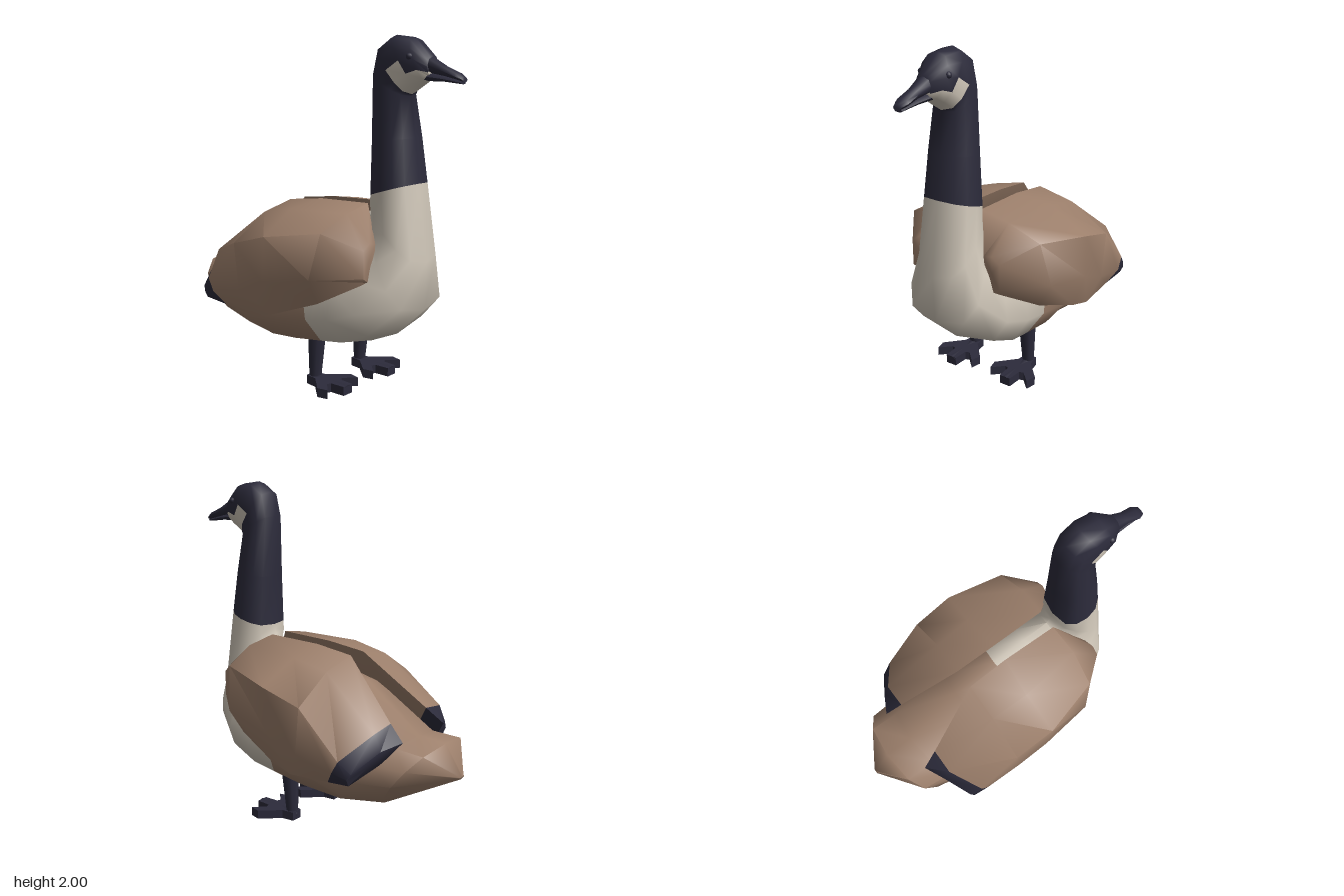
import * as THREE from 'three';
import { toCreasedNormals } from 'three/addons/utils/BufferGeometryUtils.js';

const mat = (name, color) => {
  const m = new THREE.MeshStandardMaterial({ color });
  m.name = name;
  return m;
};

// Skin over closed rings of [x, y, z]; pick(band, side) gives the material index
function loft(rings, pick = () => 0, crease = 1.1) {
  const n = rings[0].length, last = rings.length - 1;
  const centre = r => [0, 1, 2].map(k => r.reduce((s, p) => s + p[k], 0) / n);
  const pos = [...rings.flat(), centre(rings[0]), centre(rings[last])].flat();
  const c0 = rings.length * n, faces = [[], [], []];
  for (let j = 0; j < n; j++) {
    const k = (j + 1) % n;
    for (let i = 0; i < last; i++) {
      const a = i * n + j, b = i * n + k;
      faces[pick(i, j)].push(a, b, b + n, a, b + n, a + n);
    }
    faces[pick(0, j)].push(c0, k, j);
    faces[pick(last - 1, j)].push(c0 + 1, last * n + j, last * n + k);
  }
  const g = new THREE.BufferGeometry();
  g.setAttribute('position', new THREE.Float32BufferAttribute(pos, 3));
  g.setIndex(faces.flat());
  let start = 0;
  faces.forEach((f, m) => {
    if (f.length) g.addGroup(start, f.length, m);
    start += f.length;
  });
  return toCreasedNormals(g, crease);
}

// Ring spanning a lower point (zb, yb) and an upper point (zt, yt), half-width w;
// k widens the lower half, a smaller p makes the ring boxier
function ring([zb, yb, zt, yt, w, k = 0, p = 0.85], n = 12) {
  return Array.from({ length: n }, (_, j) => {
    const a = (j / n) * Math.PI * 2, c = Math.cos(a), s = Math.sin(a), t = (1 - c) / 2;
    const x = Math.sign(s) * Math.pow(Math.abs(s), p) * w * (1 + k * c);
    return [Math.abs(s) < 1e-6 ? 0 : x, yb + (yt - yb) * t, zb + (zt - zb) * t];
  });
}

export function createModel() {
  const goose = new THREE.Group();
  goose.name = 'goose';
  const brown = mat('brownFeathers', 0x9c7f6b);
  const cream = mat('creamFeathers', 0xcfc6b8);
  const dark = mat('darkFeathers', 0x2c2b3b);
  const palette = [brown, cream, dark];
  const add = (name, geometry, material, parent = goose) => {
    const m = new THREE.Mesh(geometry, material);
    m.name = name;
    parent.add(m);
    return m;
  };

  // Tail, body, neck and head in one skin
  const spine = [
    [-0.93, 0.46, -0.94, 0.48, 0.02],
    [-0.53, 0.25, -0.83, 0.64, 0.305, -0.1, 0.75],
    [-0.23, 0.20, -0.66, 0.65, 0.345, 0, 0.85],
    [0.0, 0.225, -0.30, 0.91, 0.33, 0.3, 0.75],
    [0.21, 0.255, -0.02, 0.99, 0.31, 0.45, 0.75],
    [0.36, 0.28, 0.2, 1.02, 0.30, 0.53, 0.75],
    [0.54, 0.36, 0.37, 1.04, 0.275, 0.62, 0.75],
    [0.72, 0.53, 0.39, 1.08, 0.215, 0.43, 0.72],
    [0.73, 0.80, 0.40, 1.11, 0.17, 0.05, 0.62],
    [0.67, 1.22, 0.405, 1.14, 0.158, 0, 0.6],
    [0.64, 1.46, 0.40, 1.44, 0.137, 0, 0.65],
    [0.605, 1.68, 0.39, 1.80, 0.112, 0, 0.7],
    [0.615, 1.69, 0.42, 1.94, 0.107, 0, 0.7],
    [0.68, 1.73, 0.51, 2.0, 0.102, 0, 0.65],
    [0.72, 1.76, 0.63, 1.985, 0.09, 0, 0.7],
    [0.745, 1.775, 0.745, 1.89, 0.05],
  ];
  const bodyColour = (band, side) => {
    if (band < 4) return 0;
    if (band < 9) return 1;
    const fromChin = Math.min(side, 11 - side);
    const patch = { 12: 3, 13: 2, 14: 2 }[band] || 0;
    return fromChin < patch ? 1 : 2;
  };
  add('bodyNeckAndHead', loft(spine.map(r => ring(r)), bodyColour), palette);

  // Beak halves
  add('upperBeak', loft([
    [0.71, 1.80, 0.70, 1.91, 0.055],
    [0.82, 1.785, 0.82, 1.84, 0.038],
    [0.90, 1.765, 0.90, 1.805, 0.042],
    [0.94, 1.755, 0.935, 1.782, 0.025],
  ].map(r => ring(r, 8))), dark);
  add('lowerBeak', loft([
    [0.70, 1.76, 0.70, 1.81, 0.045],
    [0.82, 1.757, 0.82, 1.786, 0.033],
    [0.93, 1.745, 0.93, 1.76, 0.024],
  ].map(r => ring(r, 8))), dark);

  // Folded wing cross-sections, front to back: inner top, crest, outer, lower, bottom, inside
  const wingRings = [
    [[0.19, 0.9, 0.53], [0.25, 0.915, 0.54], [0.3, 0.88, 0.54], [0.3, 0.73, 0.54], [0.25, 0.7, 0.53], [0.19, 0.78, 0.52]],
    [[0.06, 1.09, 0.37], [0.25, 1.055, 0.38], [0.44, 0.97, 0.36], [0.49, 0.72, 0.32], [0.4, 0.57, 0.3], [0.2, 0.75, 0.35]],
    [[0.055, 1.08, 0.02], [0.29, 1.045, 0], [0.528, 0.92, 0.02], [0.522, 0.66, 0], [0.46, 0.47, 0.02], [0.22, 0.7, 0]],
    [[0.06, 1.05, -0.23], [0.28, 1.0, -0.23], [0.522, 0.85, -0.23], [0.517, 0.58, -0.2], [0.465, 0.43, -0.12], [0.22, 0.65, -0.2]],
    [[0.18, 0.75, -0.59], [0.33, 0.73, -0.59], [0.505, 0.6, -0.48], [0.507, 0.53, -0.44], [0.46, 0.45, -0.38], [0.25, 0.58, -0.48]],
    [[0.21, 0.67, -0.69], [0.33, 0.64, -0.63], [0.482, 0.54, -0.55], [0.495, 0.51, -0.53], [0.475, 0.47, -0.53], [0.28, 0.55, -0.6]],
  ];

  // Webbed foot outline, half of it as [x, forward]
  const half = [[0.035, 0.065], [0.045, 0.14], [0.145, 0.25], [0.13, 0.315], [0.065, 0.25], [0.04, 0.26], [0.035, 0.35]];
  const outline = [...half, ...half.map(([x, z]) => [-x, z]).reverse()];
  const footShape = new THREE.Shape(outline.map(([x, z]) => new THREE.Vector2(x, -z)));

  for (const s of [1, -1]) {
    const side = s > 0 ? 'left' : 'right';
    const rings = wingRings.map(r => {
      const m = r.map(([x, y, z]) => [s * x, y, z]);
      return s > 0 ? m : m.reverse();
    });
    add(side + 'Wing', loft(rings, band => (band === 4 ? 2 : 0)), palette);

    const eye = add(side + 'Eye', new THREE.SphereGeometry(0.018, 10, 8), dark);
    eye.position.set(s * 0.086, 1.885, 0.655);

    // Leg, ankle and foot
    const leg = new THREE.Group();
    leg.name = side + 'Leg';
    leg.position.x = s * 0.2;
    goose.add(leg);
    const shin = add('shin', new THREE.CylinderGeometry(0.056, 0.034, 0.34, 8), dark, leg);
    shin.position.set(0, 0.21, 0.108);
    shin.rotation.x = 0.05;
    const ankle = add('ankle', new THREE.SphereGeometry(0.039, 8, 6), dark, leg);
    ankle.position.set(0, 0.042, 0.1);
    const foot = add('foot', new THREE.ExtrudeGeometry(footShape, { depth: 0.052, bevelEnabled: false }), dark, leg);
    foot.rotation.x = -Math.PI / 2;
    foot.position.y = 0.01;
    // Middle toe, lifted at the tip
    add('middleToe', loft([
      [0.08, 0.005, 0.1, 0.07, 0.037, 0, 0.5],
      [0.2, 0.002, 0.2, 0.062, 0.037, 0, 0.5],
      [0.28, 0, 0.28, 0.064, 0.037, 0, 0.5],
      [0.34, 0.008, 0.352, 0.066, 0.034, 0, 0.5],
    ].map(r => ring(r, 8))), dark, leg);
  }
  return goose;
}
